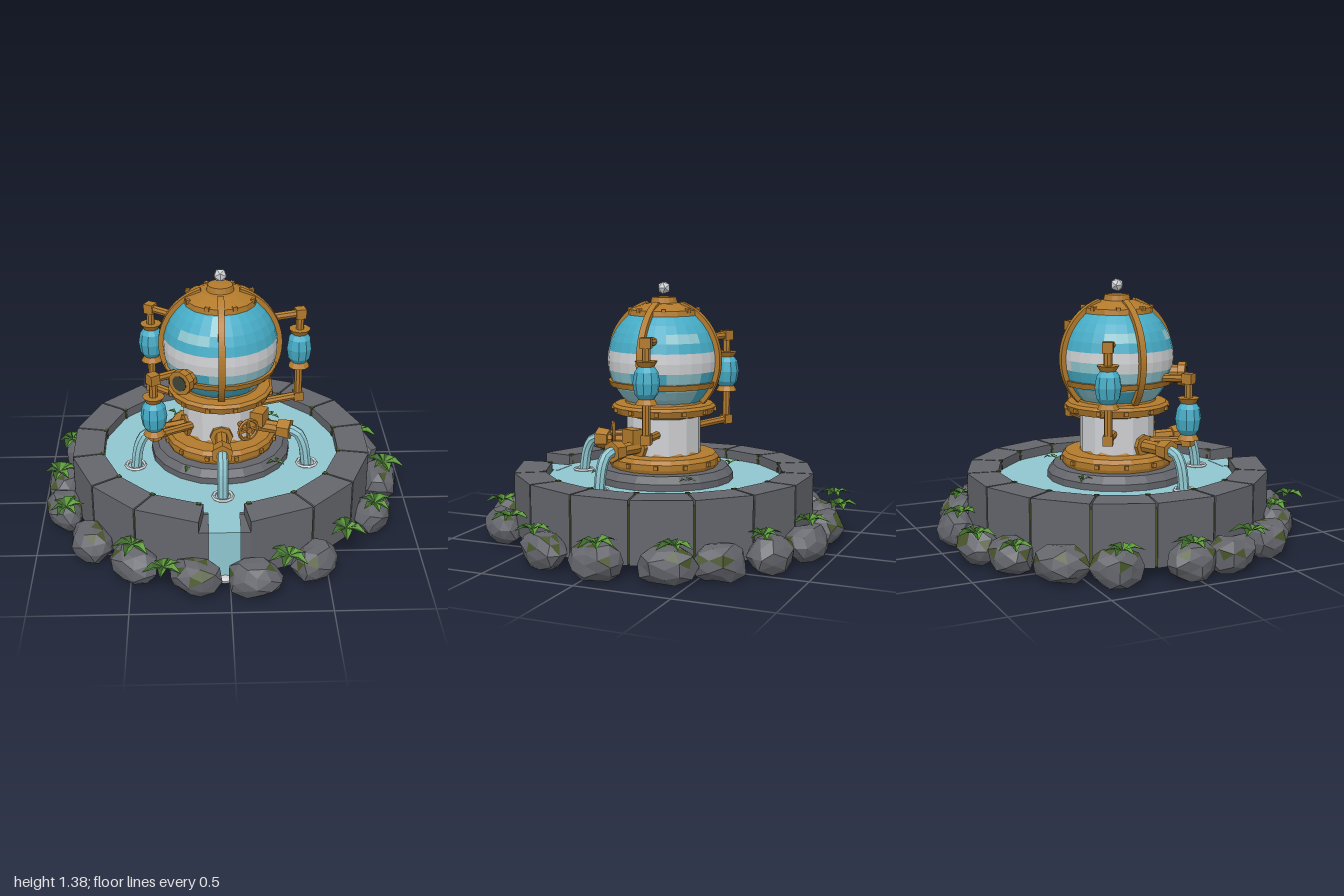
import * as THREE from 'three';

const mat = (name, color, side = THREE.FrontSide) => {
  const m = new THREE.MeshStandardMaterial({ color, side, flatShading: true });
  m.name = name;
  return m;
};
const M = {
  stone: mat('stone', 0x64666c),
  gold: mat('gold', 0xb27a2c),
  teal: mat('teal glass', 0x46acc6),
  water: mat('water', 0x8fc6cf, THREE.DoubleSide),
  white: mat('pale metal', 0xcfd0d3),
  moss: mat('moss', 0x48552a),
  leaf: mat('leaf', 0x5b9a38, THREE.DoubleSide),
  darkLeaf: mat('dark leaf', 0x3a6428, THREE.DoubleSide),
  dark: mat('dark lens', 0x3e4438),
};
const hash = (a, b = 0, c = 0) => {
  const s = Math.sin(a * 127.1 + b * 311.7 + c * 74.7) * 43758.5453;
  return s - Math.floor(s);
};
const TAU = Math.PI * 2, STEP = TAU / 16;

function add(parent, name, geo, material, x = 0, y = 0, z = 0) {
  const m = new THREE.Mesh(geo, material);
  m.name = name;
  m.position.set(x, y, z);
  parent.add(m);
  return m;
}
// Group turned so that its local +z points outward at angle a (0 = front)
function spoke(parent, name, a) {
  const g = new THREE.Group();
  g.name = name;
  g.rotation.y = a;
  parent.add(g);
  return g;
}
// Straight pipe between two points
function pipe(parent, name, from, to, r0, material = M.gold, r1 = r0, sides = 8) {
  const a = new THREE.Vector3(...from), b = new THREE.Vector3(...to), d = b.clone().sub(a);
  const m = add(parent, name, new THREE.CylinderGeometry(r1, r0, d.length(), sides), material);
  m.position.copy(a).add(b).multiplyScalar(0.5);
  m.quaternion.setFromUnitVectors(new THREE.Vector3(0, 1, 0), d.normalize());
  return m;
}
// Lathe from [radius, y] pairs listed bottom to top
const turned = (pts, sides) => new THREE.LatheGeometry(pts.map(p => new THREE.Vector2(...p)), sides);

// Wall block covering the angles a0..a1, optionally lower
function wallBlock(parent, a0, a1, top) {
  const p = (r, a) => new THREE.Vector2(r * Math.sin(a), -r * Math.cos(a));
  const s = new THREE.Shape([p(0.642, a0), p(0.808, a0), p(0.808, a1), p(0.642, a1)]);
  const g = new THREE.ExtrudeGeometry(s, { depth: top - 0.07, bevelEnabled: false });
  add(parent, 'wallBlock', g.rotateX(-Math.PI / 2), M.stone, 0, 0.07, 0);
}

function basin(root) {
  for (let i = 1; i < 16; i++) {
    const lo = i === 1 ? 0.16 : (i - 0.5) * STEP + 0.006;
    const hi = i === 15 ? TAU - 0.16 : (i + 0.5) * STEP - 0.006;
    wallBlock(root, lo, hi, 0.392);
  }
  wallBlock(root, -0.16, 0.16, 0.33);
  // Moss filling the joints
  for (let i = 0; i < 16; i++) {
    const g = spoke(root, 'mossJoint', (i + 0.5) * STEP);
    add(g, 'mossStrip', new THREE.BoxGeometry(0.014, 0.29, 0.165), M.moss, 0, 0.22, 0.718);
    add(g, 'mossTuft', new THREE.BoxGeometry(0.025, 0.012, 0.02), M.moss, 0, 0.39, 0.645);
  }
  // Pool surface and overflow
  add(root, 'pool', new THREE.CircleGeometry(0.645, 32).rotateX(-Math.PI / 2), M.water, 0, 0.34, 0);
  add(root, 'overflowTop', new THREE.BoxGeometry(0.16, 0.008, 0.2), M.water, 0, 0.338, 0.71);
  add(root, 'overflowFall', new THREE.BoxGeometry(0.16, 0.272, 0.009), M.water, 0, 0.206, 0.81);
  add(root, 'foam', new THREE.SphereGeometry(0.05, 8, 5).scale(1, 0.35, 0.7), M.white, 0, 0.07, 0.82);
  // Central plinth
  add(root, 'plinth', turned([[0, 0.07], [0.375, 0.07], [0.375, 0.375], [0.345, 0.412], [0, 0.412]], 20), M.stone);
}

function globe(root) {
  const cols = 28, rows = 18;
  const g = new THREE.SphereGeometry(0.302, cols, rows).toNonIndexed();
  // Band and cloud pattern by row and column
  const tone = p => {
    const row = Math.floor(Math.acos(THREE.MathUtils.clamp(p.y / 0.302, -1, 1)) / Math.PI * rows);
    const col = Math.floor((Math.atan2(p.x, p.z) / TAU + 1) * cols) % cols;
    const patch = hash(Math.floor(col / 3) + 3, Math.floor(row / 2) + 1);
    if (row < 4) return 0;
    if (row < 7) return patch > 0.8 ? 1 : 0;
    if (row === 7) return hash(Math.floor(col / 3), 9) > 0.6 ? 2 : 0;
    if (row < 10) return row === 9 && patch > 0.75 ? 1 : 2;
    if (row < 12) return patch > 0.8 ? 0 : 1;
    return patch > 0.65 ? 1 : 0;
  };
  const pos = g.attributes.position, v = new THREE.Vector3(), c = new THREE.Vector3();
  for (let i = 0; i < pos.count; i += 3) {
    c.set(0, 0, 0);
    for (let k = 0; k < 3; k++) c.add(v.fromBufferAttribute(pos, i + k));
    g.addGroup(i, 3, tone(c.divideScalar(3)));
  }
  add(root, 'globe', g, [M.teal, M.water, M.white], 0, 0.985, 0);

  // Four curved ribs and a waist band
  const rib = new THREE.Shape();
  rib.absarc(0, 0, 0.325, -0.78, 1.25, false);
  rib.absarc(0, 0, 0.295, 1.25, -0.78, true);
  const ribGeo = new THREE.ExtrudeGeometry(rib, { depth: 0.034, bevelEnabled: false, curveSegments: 14 });
  ribGeo.translate(0, 0, -0.017);
  for (let i = 0; i < 4; i++) add(root, 'rib', ribGeo, M.gold, 0, 0.985, 0).rotation.y = i * Math.PI / 2;
  add(root, 'waistBand', turned([[0.25, 0.845], [0.288, 0.845], [0.298, 0.875], [0.27, 0.875]], 24), M.gold);
  // Cap and finial
  add(root, 'cap', turned([[0.15, 1.222], [0.19, 1.222], [0.185, 1.25], [0.1, 1.282], [0.072, 1.285], [0.065, 1.315], [0, 1.32]], 16), M.gold);
  add(root, 'finial', new THREE.IcosahedronGeometry(0.037, 0), M.white, 0, 1.363, 0);
}

function column(root) {
  add(root, 'column', new THREE.CylinderGeometry(0.2, 0.2, 0.24, 12), M.white, 0, 0.59, 0);
  add(root, 'baseRing', turned([[0, 0.412], [0.29, 0.412], [0.297, 0.43], [0.297, 0.46], [0.28, 0.482], [0.2, 0.486], [0.19, 0.51]], 18), M.gold);
  add(root, 'upperRing', turned([[0.19, 0.68], [0.23, 0.7], [0.268, 0.7], [0.28, 0.735], [0.265, 0.75], [0.21, 0.755], [0.2, 0.79]], 18), M.gold);
  // Bolts on both rings and the cap
  for (const [n, r, y] of [[12, 0.296, 0.445], [12, 0.274, 0.722], [8, 0.18, 1.25]])
    for (let i = 0; i < n; i++)
      add(spoke(root, 'bolt', (i + 0.5) * TAU / n), 'boltHead', new THREE.BoxGeometry(0.022, 0.022, 0.022), M.gold, 0, y, r);
}

// Bulb on a bent pipe, from the globe down to the column
function bulbPipe(root, x, z, top, mid, low) {
  const d = Math.hypot(x, z), g = spoke(root, 'bulbPipe', Math.atan2(x, z));
  pipe(g, 'upperArm', [0, top - 0.01, 0.26], [0, top, d], 0.022);
  add(g, 'upperElbow', new THREE.BoxGeometry(0.054, 0.054, 0.054), M.gold, 0, top, d);
  pipe(g, 'upperStem', [0, mid + 0.1, d], [0, top, d], 0.022);
  pipe(g, 'upperCollar', [0, mid + 0.08, d], [0, mid + 0.11, d], 0.04, M.gold, 0.058, 10);
  const prof = [[0.035, -0.09], [0.06, -0.055], [0.069, 0], [0.06, 0.055], [0.035, 0.09]];
  add(g, 'bulb', turned(prof, 10), M.teal, 0, mid, d);
  pipe(g, 'lowerCollar', [0, mid - 0.11, d], [0, mid - 0.08, d], 0.058, M.gold, 0.04, 10);
  pipe(g, 'lowerStem', [0, low, d], [0, mid - 0.1, d], 0.022);
  add(g, 'lowerElbow', new THREE.BoxGeometry(0.05, 0.05, 0.05), M.gold, 0, low, d);
  pipe(g, 'lowerArm', [0, low - 0.02, 0.18], [0, low, d], 0.022);
}

// Spout with falling water and a ripple
function spout(root, a) {
  const g = spoke(root, 'spout', a);
  pipe(g, 'spoutPipe', [0, 0.53, 0.15], [0, 0.53, 0.36], 0.035);
  pipe(g, 'spoutFlange', [0, 0.53, 0.185], [0, 0.53, 0.21], 0.06);
  pipe(g, 'nozzle', [0, 0.53, 0.325], [0, 0.53, 0.395], 0.05, M.gold, 0.058, 6);
  const path = new THREE.CatmullRomCurve3([[0.38, 0.53], [0.43, 0.52], [0.465, 0.46], [0.485, 0.335]]
    .map(([z, y]) => new THREE.Vector3(0, y, z)));
  add(g, 'stream', new THREE.TubeGeometry(path, 8, 0.029, 8), M.water);
  add(g, 'ripple', new THREE.TorusGeometry(0.05, 0.01, 5, 10).rotateX(Math.PI / 2), M.white, 0, 0.344, 0.488);
}

function fittings(root) {
  bulbPipe(root, 0.425, -0.087, 1.11, 0.91, 0.62);
  bulbPipe(root, -0.37, -0.22, 1.09, 0.89, 0.62);
  bulbPipe(root, -0.35, 0.245, 0.9, 0.69, 0.57);
  for (const a of [0, 1.22, -1.22]) spout(root, a);
  // Lens port
  const port = spoke(root, 'lensPort', -0.62);
  pipe(port, 'portTube', [0, 0.9, 0.22], [0, 0.9, 0.35], 0.05, M.gold, 0.05, 10);
  pipe(port, 'portRim', [0, 0.9, 0.33], [0, 0.9, 0.37], 0.066, M.gold, 0.066, 10);
  pipe(port, 'lens', [0, 0.9, 0.368], [0, 0.9, 0.374], 0.042, M.dark, 0.042, 10);
  // Valve wheel
  const valve = spoke(root, 'valve', 0.53);
  pipe(valve, 'valveStem', [0, 0.59, 0.17], [0, 0.59, 0.29], 0.017);
  add(valve, 'wheelRim', new THREE.TorusGeometry(0.056, 0.01, 6, 14), M.gold, 0, 0.59, 0.275);
  for (let i = 0; i < 2; i++)
    add(valve, 'wheelSpoke', new THREE.BoxGeometry(0.11, 0.014, 0.014), M.gold, 0, 0.59, 0.275).rotation.z = i * Math.PI / 2;
  // Control box
  const box = spoke(root, 'controlBox', 1.15);
  add(box, 'boxBody', new THREE.BoxGeometry(0.09, 0.08, 0.09), M.gold, 0, 0.59, 0.215);
}

function rock(root, x, z, seed) {
  const g = new THREE.IcosahedronGeometry(1, 1);
  const p = g.attributes.position, v = new THREE.Vector3();
  for (let i = 0; i < p.count; i++) {
    v.fromBufferAttribute(p, i);
    const k = [v.x, v.y, v.z].map(n => Math.round(n * 50));
    v.multiplyScalar(0.9 + 0.24 * hash(k[0] + seed, k[1], k[2]));
    v.y = THREE.MathUtils.clamp(v.y, -0.88, 0.9);
    p.setXYZ(i, v.x, v.y, v.z);
  }
  g.computeVertexNormals();
  // Moss on a few of the upper facets
  for (let i = 0; i < p.count; i += 3)
    g.addGroup(i, 3, p.getY(i) + p.getY(i + 1) + p.getY(i + 2) > 0.7 && hash(i, seed) > 0.84 ? 1 : 0);
  const m = add(root, 'rock', g, [M.stone, M.moss], x, 0.104, z);
  m.scale.set(0.122 + 0.02 * hash(seed, 2), 0.1, 0.098);
  m.rotation.y = Math.atan2(x, z) + (hash(seed, 5) - 0.5) * 0.5;
}

// Folded leaf pointing along +z, one half per shade
function leafHalf(side) {
  const g = new THREE.BufferGeometry();
  g.setAttribute('position', new THREE.Float32BufferAttribute(
    [0, 0, 0, side * 0.6, 0.22, 0.45, 0, 0.1, 0.5, 0, 0.1, 0.5, side * 0.6, 0.22, 0.45, 0, -0.05, 1].map((n, i) => i % 3 ? n : n * 0.45), 3));
  g.computeVertexNormals();
  return g;
}
function plant(root, x, y, z, size, seed, count = 6) {
  const g = new THREE.Group();
  g.name = 'plant';
  g.position.set(x, y, z);
  for (let i = 0; i < count; i++) {
    const l = spoke(g, 'leaf', seed + i * TAU / count + hash(i, seed) * 0.5);
    l.scale.setScalar(size * (0.8 + 0.4 * hash(seed, i)));
    add(l, 'leafLight', leafHalf(1), M.leaf);
    add(l, 'leafDark', leafHalf(-1), M.darkLeaf);
  }
  root.add(g);
}

export function createModel() {
  const model = new THREE.Group();
  model.name = 'fountain';
  const body = new THREE.Group();
  body.name = 'fountainBody';
  body.position.set(-0.028, 0, -0.022);
  model.add(body);
  basin(body);
  column(body);
  globe(body);
  fittings(body);

  // Ring of rocks
  [[-0.2, -0.88], [0.13, -0.88], [0.41, -0.78], [0.64, -0.6], [0.79, -0.39], [0.86, -0.05], [0.78, 0.28],
    [0.43, 0.71], [0.12, 0.84], [-0.17, 0.82], [-0.48, 0.7], [-0.71, 0.51], [-0.87, 0.21], [-0.89, -0.02],
    [-0.82, -0.39], [-0.67, -0.61], [-0.44, -0.78]].forEach(([x, z], i) => rock(model, x, z, i + 1));
  // Plants among the rocks
  [[-0.6, -0.82], [-0.33, -0.92], [0.07, -0.87], [0.44, -0.75], [0.79, -0.43], [0.89, -0.07], [0.78, 0.34],
    [0.6, 0.57], [0.29, 0.8], [-0.33, 0.88], [-0.49, 0.68], [-0.85, 0.33], [-0.92, -0.03], [-0.88, -0.39]]
    .forEach(([x, z], i) => plant(model, x, 0.205, z, 0.1, i + 1));
  // Sprigs around the plinth
  [[0.27, -0.28], [-0.27, -0.32], [0.26, 0.23], [-0.2, 0.26]]
    .forEach(([x, z], i) => plant(model, x, 0.4, z, 0.055, i + 30, 3));
  return model;
}
